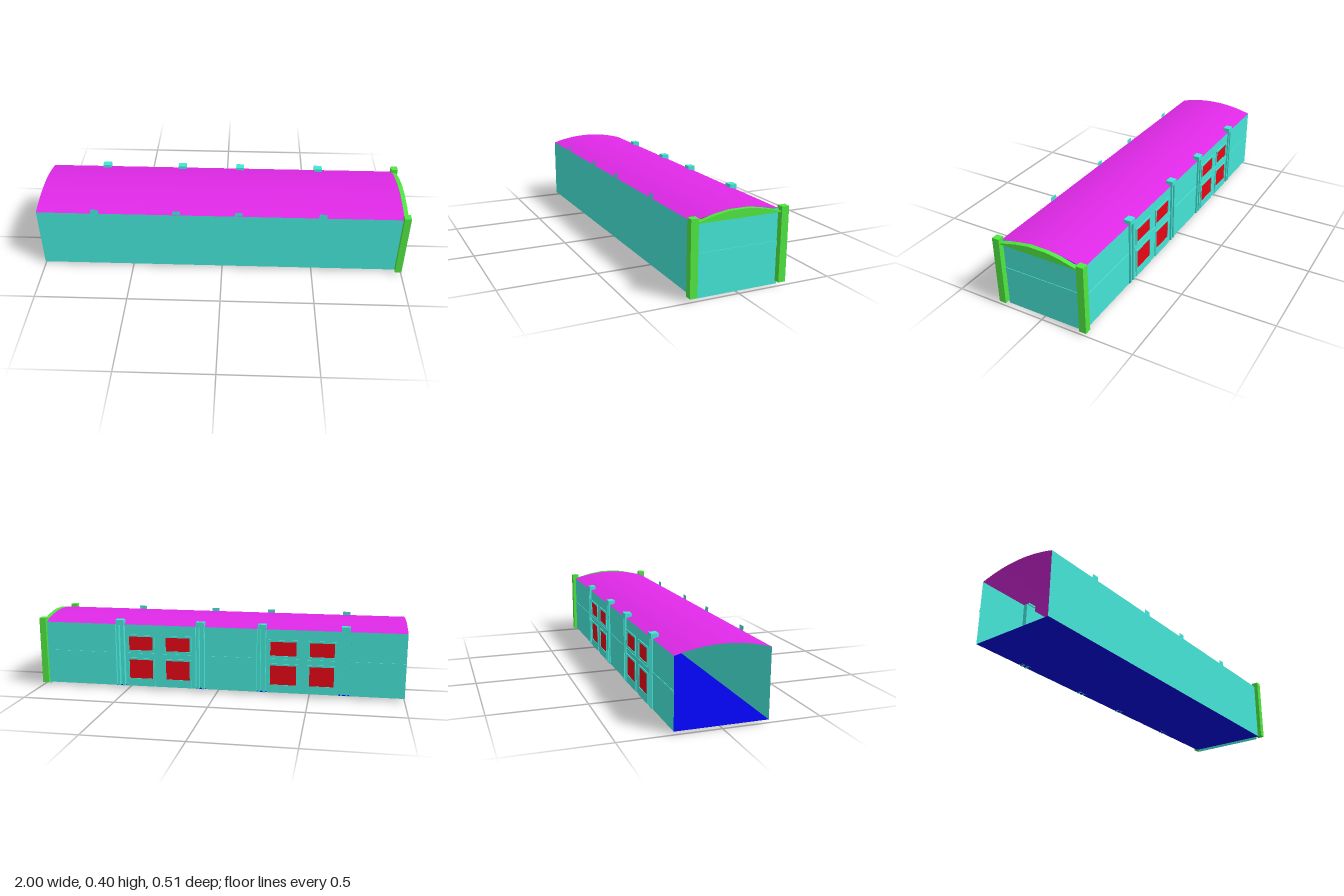
import * as THREE from 'three';

export function createModel() {
  const group = new THREE.Group();
  const mat = (name, color) => {
    const m = new THREE.MeshStandardMaterial({ color, side: THREE.DoubleSide });
    m.name = name;
    return m;
  };
  const teal = mat('teal wall', 0x45e4d6);
  const magenta = mat('magenta roof', 0xe42aec);
  const green = mat('green trim', 0x50e741);
  const blue = mat('blue floor', 0x0404e0);
  const red = mat('red window', 0xf80618);

  const add = (name, geo, m) => {
    const mesh = new THREE.Mesh(geo, m);
    mesh.name = name;
    group.add(mesh);
    return mesh;
  };
  // Box given by its limits on each axis
  const box = (name, m, x0, x1, y0, y1, z0, z1) => {
    const b = add(name, new THREE.BoxGeometry(x1 - x0, y1 - y0, z1 - z0), m);
    b.position.set((x0 + x1) / 2, (y0 + y1) / 2, (z0 + z1) / 2);
    return b;
  };

  const X0 = -1, X1 = 0.97, BASE = 0.016, EAVE = 0.363, FRONT = 0.23, BACK = -0.235;
  const length = X1 - X0, midX = (X0 + X1) / 2, midY = (BASE + EAVE) / 2, midZ = (FRONT + BACK) / 2;
  const columns = [-0.685, -0.245, 0.09, 0.54], SLOT = 0.03, RECESS = -0.213;

  // Single-skin front wall and floor; the -x end stays open
  add('frontWall', new THREE.PlaneGeometry(length, EAVE - BASE), teal).position.set(midX, midY, FRONT);
  const floor = add('floor', new THREE.PlaneGeometry(length, FRONT - BACK), blue);
  floor.rotation.x = -Math.PI / 2;
  floor.position.set(midX, BASE, midZ);

  // Back wall in bays between the column slots, each with a thin string course
  const stops = [X0, ...columns.flatMap((x) => [x - SLOT, x + SLOT]), X1];
  for (let i = 0; i < stops.length; i += 2) {
    const a = stops[i], b = stops[i + 1];
    const bay = add('backWall', new THREE.PlaneGeometry(b - a, EAVE - BASE), teal);
    bay.rotation.y = Math.PI;
    bay.position.set((a + b) / 2, midY, BACK);
    box('backLedge', teal, a, b, 0.19, 0.204, BACK - 0.003, BACK);
  }

  // Shallow vaulted roof: a sheet bent into an arc
  const roof = new THREE.PlaneGeometry(length, FRONT - BACK, 1, 16);
  roof.rotateX(-Math.PI / 2);
  roof.translate(midX, 0, midZ);
  const p = roof.attributes.position;
  for (let i = 0; i < p.count; i++) {
    const t = (p.getZ(i) - midZ) / ((FRONT - BACK) / 2);
    p.setY(i, EAVE + 0.035 * (1 - t * t));
  }
  roof.computeVertexNormals();
  add('roof', roof, magenta);

  // Closed end: wall, ledge, corner posts and arch
  const endWall = add('endWall', new THREE.PlaneGeometry(0.44, 0.373), teal);
  endWall.rotation.y = Math.PI / 2;
  endWall.position.set(X1, 0.1865, -0.004);
  box('endLedge', teal, X1, X1 + 0.003, 0.19, 0.215, -0.216, 0.216);
  for (const z of [-0.234, 0.234])
    box('cornerPost', green, 0.964, 1, BASE, 0.387, z - 0.019, z + 0.019);
  const arch = new THREE.Shape([
    [-0.216, 0.36], [0.216, 0.36], [0.216, 0.365], [0.125, 0.388],
    [0.05, 0.4], [-0.05, 0.4], [-0.125, 0.388], [-0.216, 0.365],
  ].map(([x, y]) => new THREE.Vector2(x, y)));
  const archGeo = new THREE.ExtrudeGeometry(arch, { depth: 0.024, bevelEnabled: false });
  archGeo.rotateY(Math.PI / 2);
  archGeo.translate(X1, 0, 0);
  add('endArch', archGeo, green);

  // Channel columns standing in recessed slots, with caps; flat tabs above the front eave
  for (const x of columns) {
    box('slotBack', teal, x - SLOT, x + SLOT, BASE, EAVE, RECESS, RECESS + 0.002);
    for (const s of [-1, 1]) {
      const edge = x + s * (SLOT - 0.001), flange = x + s * 0.014;
      box('slotSide', teal, edge - 0.001, edge + 0.001, BASE, EAVE, BACK, RECESS);
      box('columnFlange', teal, flange - 0.006, flange + 0.006, BASE, EAVE, -0.241, RECESS);
    }
    box('columnCap', teal, x - 0.023, x + 0.023, 0.361, 0.388, -0.243, -0.205);
    add('eaveTab', new THREE.PlaneGeometry(0.042, 0.025), teal).position.set(x, 0.375, FRONT - 0.002);
  }

  // Framed red windows, two by two in each bay
  const rect = (C, x0, x1, y0, y1) => {
    const s = new C();
    s.moveTo(x0, y0);
    s.lineTo(x1, y0);
    s.lineTo(x1, y1);
    s.lineTo(x0, y1);
    s.closePath();
    return s;
  };
  for (const [x0, x1] of [[-0.63, -0.5], [-0.43, -0.29], [0.15, 0.283], [0.357, 0.49]]) {
    for (const [y0, y1, sill] of [[0.221, 0.297, 0.209], [0.061, 0.167, 0.018]]) {
      const frame = rect(THREE.Shape, x0 - 0.01, x1 + 0.01, sill, y1 + 0.01);
      frame.holes.push(rect(THREE.Path, x0, x1, y0, y1));
      const g = new THREE.ExtrudeGeometry(frame, { depth: 0.005, bevelEnabled: false });
      g.translate(0, 0, BACK - 0.005);
      add('windowFrame', g, teal);
      box('windowPane', red, x0, x1, y0, y1, BACK - 0.0015, BACK + 0.0005);
    }
  }
  return group;
}
